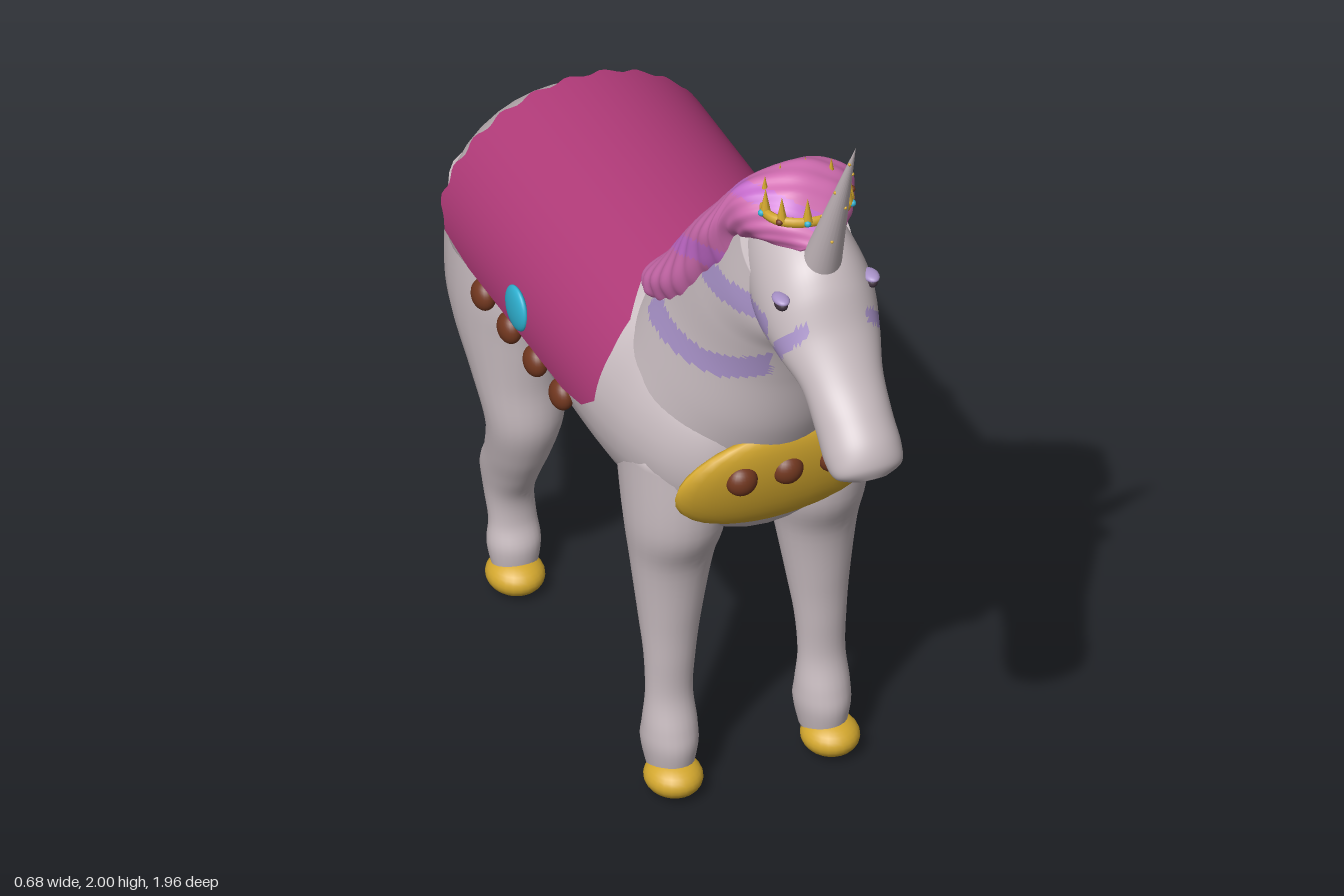
import * as THREE from 'three';

const mat = (name, color, side = THREE.FrontSide) => {
  const m = new THREE.MeshStandardMaterial({ color, side });
  m.name = name;
  return m;
};

// Smooth tube through oval rings [zA, yA, zB, yB, halfWidth, centreX]; A and B are opposite ends of each oval
function loft(rings, { steps = 6, sides = 32, ripple = 0, mirror = 1 } = {}) {
  const at = (i, k) => rings[Math.min(Math.max(i, 0), rings.length - 1)][k] ?? 0;
  const spline = (i, t, k) => {
    const [a, b, c, d] = [at(i - 1, k), at(i, k), at(i + 1, k), at(i + 2, k)];
    return b + 0.5 * t * (c - a + t * (2 * a - 5 * b + 4 * c - d + t * (3 * (b - c) + d - a)));
  };
  const pos = [], index = [], rows = (rings.length - 1) * steps + 1;
  const centres = [];
  for (let r = 0; r < rows; r++) {
    const i = Math.min(Math.floor(r / steps), rings.length - 2), t = r / steps - i;
    const [za, ya, zb, yb, hw, cx] = [0, 1, 2, 3, 4, 5].map(k => spline(i, t, k));
    const cz = (za + zb) / 2, cy = (ya + yb) / 2;
    centres.push([cx * mirror, cy, cz]);
    for (let s = 0; s < sides; s++) {
      const a = s / sides * Math.PI * 2;
      const w = 1 + ripple * Math.sin(7 * a + r * 0.35) * Math.sin(r * 0.6 + a);
      pos.push(cx * mirror + Math.sin(a) * Math.max(hw, 0.004) * w,
        cy + Math.cos(a) * (ya - yb) / 2 * w, cz + Math.cos(a) * (za - zb) / 2 * w);
    }
  }
  pos.push(...centres[0], ...centres[rows - 1]);
  const n = rows * sides;
  for (let s = 0; s < sides; s++) {
    const q = (s + 1) % sides;
    for (let r = 0; r < rows - 1; r++) {
      const a = r * sides + s, b = r * sides + q;
      index.push(a, b, a + sides, b, b + sides, a + sides);
    }
    index.push(n, q, s, n + 1, n - sides + s, n - sides + q);
  }
  // Turn the shell outward if its volume comes out negative
  const p = k => new THREE.Vector3().fromArray(pos, index[k] * 3);
  let volume = 0;
  for (let k = 0; k < index.length; k += 3) volume += p(k).dot(p(k + 1).cross(p(k + 2)));
  if (volume < 0) index.reverse();
  const g = new THREE.BufferGeometry();
  g.setAttribute('position', new THREE.Float32BufferAttribute(pos, 3));
  g.setIndex(index);
  g.computeVertexNormals();
  return g;
}

// Sort faces into material groups by a rule on the face centre
function paint(g, count, rule) {
  const buckets = Array.from({ length: count }, () => []), p = g.attributes.position, ix = g.index.array;
  for (let k = 0; k < ix.length; k += 3) {
    const f = [ix[k], ix[k + 1], ix[k + 2]];
    const mid = get => f.reduce((sum, v) => sum + get(v), 0) / 3;
    buckets[rule(mid(v => p.getX(v)), mid(v => p.getY(v)), mid(v => p.getZ(v)))].push(...f);
  }
  g.setIndex(buckets.flat());
  let start = 0;
  buckets.forEach((b, i) => { g.addGroup(start, b.length, i); start += b.length; });
  return g;
}

const lerpTable = (table, t) => {
  const i = Math.max(1, table.findIndex(e => e[0] >= t - 1e-9));
  const [a, b] = [table[i - 1], table[i]];
  return a[1] + (b[1] - a[1]) * (t - a[0]) / (b[0] - a[0]);
};

export function createModel() {
  const root = new THREE.Group();
  const coat = mat('pale grey coat', 0xc6babe), gold = mat('gold', 0xd4a82e);
  const cloth = mat('magenta cloth', 0xb03a78, THREE.DoubleSide), teal = mat('turquoise', 0x2fb2d2);
  const brown = mat('brown beads', 0x71371f), purple = mat('purple', 0xa260d2);
  const pink = mat('pink hair', 0xd06cb0), orchid = mat('orchid hair', 0xc46acb);
  const lavender = mat('lavender', 0xa892c8), dark = mat('dark eye', 0x40323f);

  const add = (name, geometry, material, parent = root) => {
    const m = new THREE.Mesh(geometry, material);
    m.name = name;
    parent.add(m);
    return m;
  };
  const ball = (name, material, x, y, z, rx, ry, rz) => {
    const m = add(name, new THREE.SphereGeometry(1, 24, 16), material);
    m.position.set(x, y, z);
    m.scale.set(rx, ry, rz);
    return m;
  };

  // Torso: [z, centre y, half width, half height]
  const torso = [[-0.765, 0.95, 0.04, 0.05], [-0.745, 0.95, 0.14, 0.14], [-0.69, 0.94, 0.245, 0.21],
    [-0.58, 0.95, 0.305, 0.265], [-0.45, 0.96, 0.31, 0.27], [-0.3, 0.985, 0.31, 0.245], [-0.1, 0.965, 0.31, 0.265],
    [0.1, 0.955, 0.31, 0.28], [0.2, 0.94, 0.3, 0.275], [0.3, 0.935, 0.28, 0.265], [0.4, 0.93, 0.235, 0.23],
    [0.47, 0.94, 0.16, 0.16], [0.5, 0.96, 0.05, 0.05]];
  add('torso', loft(torso.map(([z, y, w, h]) => [z, y + h, z, y - h, w])), coat);

  // Neck and head, with lavender markings on the cheeks and neck
  const marking = (x, y, z) => {
    const cheek = Math.abs(y - 1.442) < 0.03 && z < 0.69;
    const collar = Math.abs(y - 1.22 - 2.4 * Math.max(0, z - 0.45) ** 2) < 0.028 && z > 0.2;
    return Math.abs(x) > 0.07 && (cheek || collar) ? 1 : 0;
  };
  const neck = loft([[0.48, 0.9, -0.02, 1.08, 0.27], [0.548, 1.05, 0.05, 1.2, 0.225], [0.585, 1.2, 0.15, 1.3, 0.188],
    [0.62, 1.3, 0.27, 1.43, 0.168], [0.66, 1.36, 0.38, 1.56, 0.15], [0.67, 1.45, 0.46, 1.65, 0.125]], { steps: 14, sides: 72 });
  add('neck', paint(neck, 2, marking), [coat, lavender]);
  const head = loft([[0.52, 1.66, 0.46, 1.58, 0.04], [0.6, 1.655, 0.44, 1.48, 0.1], [0.7, 1.61, 0.5, 1.4, 0.125],
    [0.755, 1.55, 0.58, 1.35, 0.13], [0.8, 1.46, 0.67, 1.33, 0.115], [0.86, 1.38, 0.74, 1.3, 0.092],
    [0.92, 1.32, 0.8, 1.22, 0.086], [0.965, 1.27, 0.85, 1.165, 0.086], [0.982, 1.225, 0.895, 1.153, 0.075],
    [0.973, 1.19, 0.93, 1.163, 0.035]], { steps: 8, sides: 64 });
  add('head', paint(head, 2, marking), [coat, lavender]);

  // Legs: [y, front z, back z, centre x, half width]
  const frontLeg = [[0.9, 0.43, 0.1, 0.16, 0.115], [0.72, 0.42, 0.16, 0.165, 0.11], [0.6, 0.372, 0.2, 0.17, 0.092],
    [0.45, 0.352, 0.225, 0.175, 0.07], [0.35, 0.345, 0.245, 0.178, 0.058], [0.25, 0.342, 0.25, 0.18, 0.053],
    [0.17, 0.362, 0.238, 0.18, 0.06], [0.12, 0.37, 0.225, 0.18, 0.061], [0.06, 0.36, 0.24, 0.18, 0.05]];
  const hindLeg = [[1.0, -0.32, -0.74, 0.17, 0.12], [0.85, -0.3, -0.735, 0.178, 0.13], [0.74, -0.325, -0.69, 0.185, 0.125],
    [0.62, -0.345, -0.58, 0.19, 0.105], [0.5, -0.347, -0.52, 0.19, 0.085], [0.4, -0.385, -0.545, 0.19, 0.07],
    [0.32, -0.43, -0.59, 0.188, 0.062], [0.25, -0.468, -0.578, 0.185, 0.055], [0.18, -0.473, -0.558, 0.18, 0.054],
    [0.12, -0.455, -0.562, 0.18, 0.06], [0.06, -0.46, -0.545, 0.18, 0.05]];
  for (const s of [1, -1]) {
    const side = s > 0 ? 'left' : 'right';
    for (const [name, rows, z] of [['FrontLeg', frontLeg, 0.33], ['HindLeg', hindLeg, -0.49]]) {
      add(side + name, loft(rows.map(([y, f, b, x, w]) => [f, y, b, y, w, x]), { mirror: s, sides: 24 }), coat);
      ball(side + name + 'Hoof', gold, s * 0.185, 0.046, z, 0.064, 0.043, 0.07);
    }
    // Saddle ornaments
    ball(side + 'SaddleGem', teal, s * 0.325, 0.99, -0.175, 0.015, 0.053, 0.05);
    for (let i = 0; i < 4; i++) ball(side + 'GirthBead', brown, s * 0.308, 0.885, 0.02 - i * 0.1345, 0.026, 0.036, 0.036);
    // Eyes with a heavy lid
    ball(side + 'Eye', dark, s * 0.106, 1.516, 0.715, 0.014, 0.014, 0.02);
    ball(side + 'Eyelid', lavender, s * 0.106, 1.529, 0.714, 0.018, 0.01, 0.027);
  }

  // Mane and tail
  const mane = loft([[0.7, 1.63, 0.64, 1.58, 0.045], [0.665, 1.675, 0.57, 1.57, 0.1], [0.61, 1.73, 0.52, 1.54, 0.135],
    [0.53, 1.742, 0.5, 1.52, 0.155], [0.44, 1.66, 0.5, 1.45, 0.172], [0.34, 1.55, 0.44, 1.38, 0.18],
    [0.24, 1.43, 0.38, 1.27, 0.188], [0.15, 1.32, 0.31, 1.22, 0.19], [0.09, 1.25, 0.22, 1.19, 0.18],
    [0.08, 1.22, 0.16, 1.18, 0.13]], { steps: 10, sides: 64, ripple: 0.03 });
  add('mane', paint(mane, 2, (x, y, z) => Math.sin(28 * (y - 0.4 * z + 0.8 * x)) > 0.72 ? 1 : 0), [pink, orchid]);
  const tail = loft([[-0.74, 1.09, -0.66, 1.02, 0.05], [-0.79, 1.05, -0.68, 0.9, 0.085], [-0.83, 0.97, -0.69, 0.82, 0.1],
    [-0.88, 0.85, -0.71, 0.74, 0.092], [-0.93, 0.74, -0.75, 0.66, 0.08, 0.005], [-0.97, 0.64, -0.79, 0.57, 0.066, 0.01],
    [-0.965, 0.57, -0.82, 0.53, 0.052, 0.015], [-0.92, 0.527, -0.86, 0.518, 0.024, 0.02]], { steps: 10, sides: 48, ripple: 0.03 });
  add('tail', paint(tail, 3, (x, y, z) => {
    const s = y + 0.5 * z + 0.2 * x;
    if (s > 0.57 || s < 0.17 || (s > 0.27 && s < 0.33)) return 2;
    return s > 0.43 && s < 0.5 ? 1 : 0;
  }), [pink, orchid, purple]);

  // Saddle cloth draped over the back, its front edge cut around the neck
  const frontEdge = [[0, 0.06], [0.3, 0.11], [0.45, 0.19], [0.6, 0.21], [0.85, 0.22], [0.95, 0.16], [1, 0.06]];
  const backEdge = [[0, -0.575], [0.85, -0.575], [0.95, -0.54], [1, -0.43]];
  const drape = new THREE.PlaneGeometry(2, 1, 80, 20), dp = drape.attributes.position;
  for (let i = 0; i < dp.count; i++) {
    const u = dp.getX(i), v = dp.getY(i) + 0.5, t = Math.min(1, Math.abs(u)), a = u * 1.68;
    const zb = lerpTable(backEdge, t) + 0.007 * Math.sin(u * 41);
    dp.setXYZ(i, 0.325 * Math.sin(a), 0.96 + 0.285 * Math.cos(a), zb + (lerpTable(frontEdge, t) - zb) * v);
  }
  // Plane rows run front to back, so its faces already point outward
  drape.computeVertexNormals();
  add('saddleCloth', drape, cloth);

  // Breastplate with three beads
  ball('breastplate', gold, 0, 0.885, 0.475, 0.247, 0.139, 0.042).rotation.x = 0.25;
  for (const x of [-0.108, 0, 0.108]) ball('breastBead', brown, x, 0.92, 0.515, 0.036, 0.036, 0.03);

  // Horn leaning forward, with a spiral of gold specks
  const horn = new THREE.Group();
  horn.name = 'horn';
  horn.position.set(0, 1.59, 0.695);
  horn.rotation.x = 0.405;
  root.add(horn);
  add('hornCone', new THREE.ConeGeometry(0.043, 0.446, 24).translate(0, 0.223, 0), coat, horn);
  for (let i = 0; i < 9; i++) {
    const h = 0.08 + i * 0.038, r = 0.043 * (1 - h / 0.446);
    add('hornSpeck', new THREE.SphereGeometry(0.004, 8, 6), gold, horn).position.set(r * Math.cos(i * 1.9), h, r * Math.sin(i * 1.9));
  }

  // Crown: oval band with pointed tips and small gems
  const crown = new THREE.Group();
  crown.name = 'crown';
  crown.position.set(0, 1.69, 0.615);
  root.add(crown);
  const band = add('crownBand', new THREE.TorusGeometry(1, 0.1, 8, 40), gold, crown);
  band.rotation.x = Math.PI / 2;
  band.scale.set(0.097, 0.075, 0.13);
  for (let i = 0; i < 10; i++) {
    const a = (i + 0.5) / 10 * Math.PI * 2, x = 0.097 * Math.sin(a), z = 0.075 * Math.cos(a);
    add('crownTip', new THREE.ConeGeometry(0.012, 0.06, 8), gold, crown).position.set(x, 0.033, z);
    add('crownGem', new THREE.SphereGeometry(0.008, 10, 8), i % 2 ? teal : brown, crown).position.set(x * 1.1, 0.002, z * 1.1);
  }
  return root;
}
